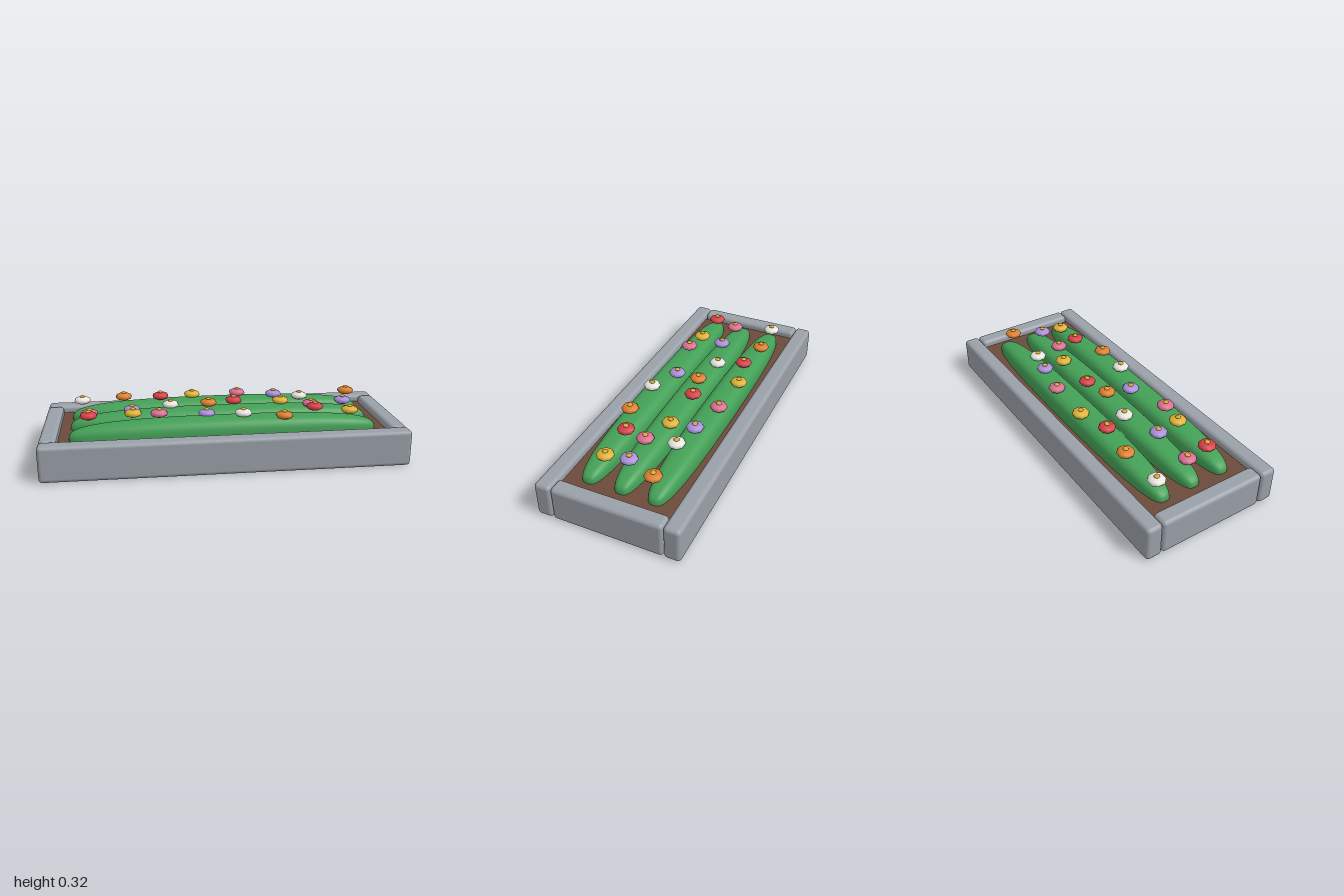
import * as THREE from 'three';
import { RoundedBoxGeometry } from 'three/addons/geometries/RoundedBoxGeometry.js';

const mat = (name, color) => {
  const m = new THREE.MeshStandardMaterial({ color });
  m.name = name;
  return m;
};

// Leafy mound: superelliptic arch cross-sections swept along x, tapering at both ends
function moundGeometry(halfLength, halfWidth, height) {
  const rows = 40, cols = 20, pos = [], index = [];
  for (let i = 0; i <= rows; i++) {
    const t = -Math.cos((i / rows) * Math.PI);
    const s = Math.pow(Math.max(0, 1 - Math.pow(Math.abs(t), 2.5)), 0.3);
    for (let j = 0; j <= cols; j++) {
      const a = (j / cols) * Math.PI, c = Math.cos(a);
      const z = Math.sign(c) * Math.pow(Math.abs(c), 2 / 3);
      const y = Math.pow(Math.max(0, Math.sin(a)), 2 / 3);
      pos.push(t * halfLength, y * height * s, z * halfWidth * s);
    }
  }
  for (let i = 0; i < rows; i++) {
    for (let j = 0; j < cols; j++) {
      const a = i * (cols + 1) + j, b = a + cols + 1;
      index.push(a, b, a + 1, b, b + 1, a + 1);
    }
  }
  const g = new THREE.BufferGeometry();
  g.setAttribute('position', new THREE.Float32BufferAttribute(pos, 3));
  g.setIndex(index);
  g.computeVertexNormals();
  return g;
}

export function createModel() {
  const group = new THREE.Group();
  group.name = 'flowerBed';

  const stone = mat('stone', 0x9aa0a8);
  const soil = mat('soil', 0x6b4a3a);
  const leaf = mat('leaf', 0x43a056);
  leaf.side = THREE.DoubleSide;
  const centre = mat('flowerCentre', 0xd9a62e);
  const petals = {
    white: mat('whitePetal', 0xe8e6e0),
    orange: mat('orangePetal', 0xdd7f2e),
    red: mat('redPetal', 0xd63f48),
    yellow: mat('yellowPetal', 0xdfb238),
    pink: mat('pinkPetal', 0xdb6f93),
    lavender: mat('lavenderPetal', 0xaa8fdb),
  };

  const add = (name, geometry, material, x, y, z, parent = group) => {
    const m = new THREE.Mesh(geometry, material);
    m.name = name;
    m.position.set(x, y, z);
    parent.add(m);
    return m;
  };

  // Stone border
  const longWall = new RoundedBoxGeometry(2, 0.2, 0.092, 4, 0.022);
  const endWall = new RoundedBoxGeometry(0.092, 0.2, 0.615, 4, 0.022);
  for (const s of [1, -1]) {
    add(s > 0 ? 'frontWall' : 'backWall', longWall, stone, 0, 0.1, s * 0.354);
    add(s > 0 ? 'leftWall' : 'rightWall', endWall, stone, s * 0.954, 0.1, 0);
  }

  // Soil filling
  add('soil', new THREE.BoxGeometry(1.82, 0.16, 0.62), soil, 0, 0.08, 0);

  // Three rows of foliage
  const mound = moundGeometry(0.85, 0.09, 0.102);
  for (const z of [-0.185, 0, 0.185]) add('leafMound', mound, leaf, 0, 0.159, z);

  // Flowers: colour, x, y, z
  const flowers = [
    ['white', -0.79, 0.265, -0.2], ['orange', -0.55, 0.275, -0.215],
    ['red', -0.335, 0.28, -0.185], ['yellow', -0.145, 0.27, -0.23],
    ['pink', 0.125, 0.275, -0.22], ['lavender', 0.34, 0.272, -0.175],
    ['white', 0.49, 0.265, -0.14], ['orange', 0.78, 0.282, -0.155],
    ['pink', -0.74, 0.256, 0.03], ['lavender', -0.505, 0.268, 0.025],
    ['white', -0.285, 0.27, -0.04], ['orange', -0.07, 0.282, -0.01],
    ['red', 0.08, 0.28, -0.045], ['yellow', 0.355, 0.27, -0.04],
    ['pink', 0.52, 0.264, 0.025], ['lavender', 0.71, 0.275, 0.015],
    ['red', -0.74, 0.283, 0.155], ['yellow', -0.5, 0.288, 0.155],
    ['pink', -0.36, 0.29, 0.18], ['lavender', -0.095, 0.265, 0.135],
    ['white', 0.1, 0.28, 0.2], ['orange', 0.325, 0.264, 0.22],
    ['red', 0.515, 0.282, 0.14], ['yellow', 0.715, 0.258, 0.15],
  ];
  const head = new THREE.SphereGeometry(0.049, 8, 6).scale(1, 0.46, 1).rotateY(Math.PI / 8);
  const eye = new THREE.SphereGeometry(0.016, 8, 6).scale(1, 0.5, 1);
  for (const [color, x, y, z] of flowers) {
    const flower = new THREE.Group();
    flower.name = color + 'Flower';
    flower.position.set(x, y, z);
    add('petals', head, petals[color], 0, 0, 0, flower);
    add('centre', eye, centre, 0, 0.022, 0, flower);
    group.add(flower);
  }
  return group;
}
